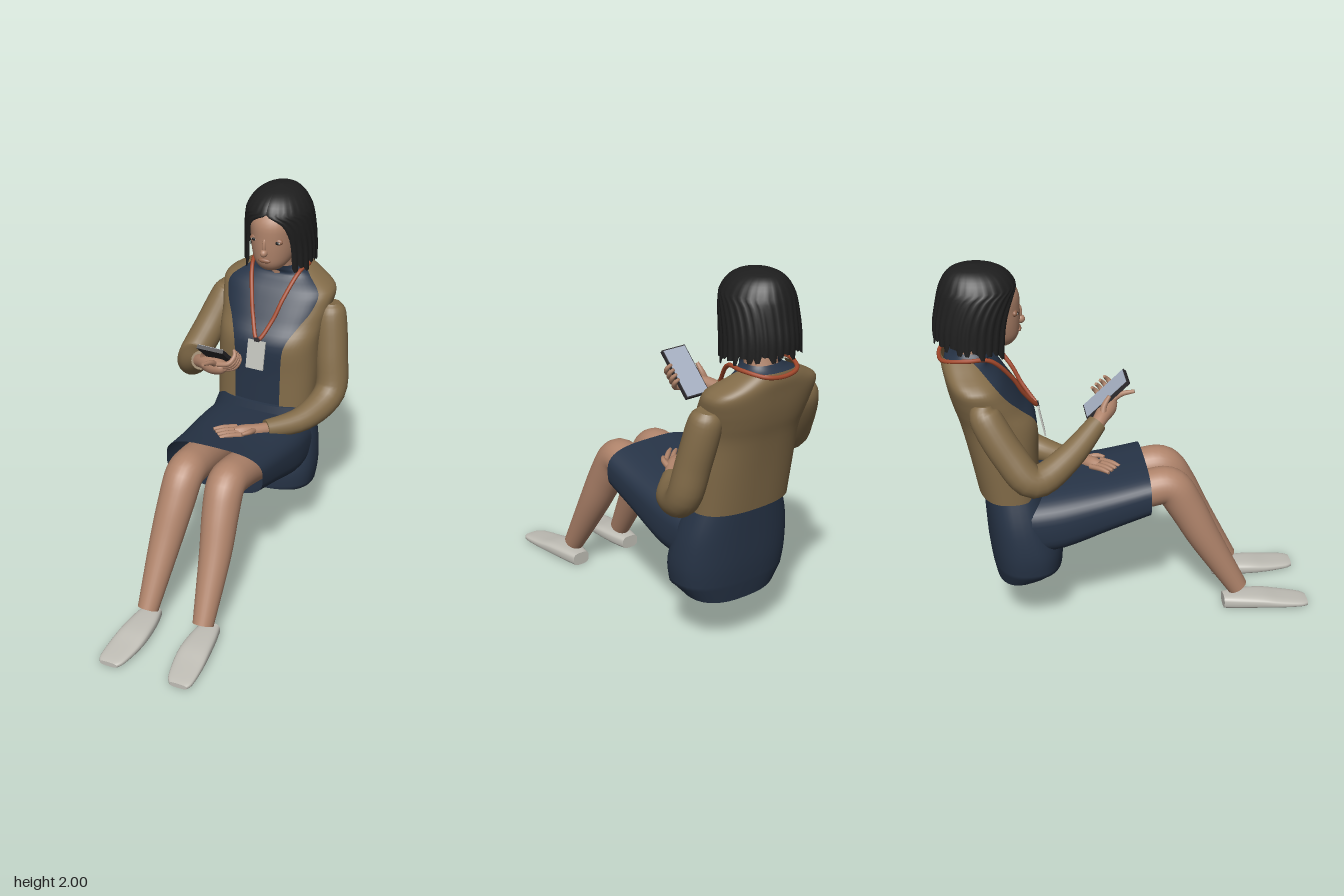
import * as THREE from 'three';

const V = (x, y, z) => new THREE.Vector3(x, y, z);
const CX = 0.02; // body centre line

function makeMaterials() {
  const mat = (name, color, side = THREE.FrontSide) => {
    const m = new THREE.MeshStandardMaterial({ color, side });
    m.name = name;
    return m;
  };
  return {
    skin: mat('skin', 0xb0846b), lip: mat('lips', 0x94674f),
    hair: mat('hair black', 0x1e1e1e, THREE.DoubleSide),
    jacket: mat('jacket tan', 0x836c49, THREE.DoubleSide),
    navy: mat('navy cloth', 0x273447, THREE.DoubleSide),
    strap: mat('strap rust', 0xa3482b), badge: mat('badge white', 0xbfc0ba),
    phone: mat('phone charcoal', 0x2c2a2d), screen: mat('screen blue grey', 0xa6b0c2),
    shoe: mat('shoe off white', 0xc0beb6),
  };
}

// Skin over cross-sections {c, u, v, a}: centre, two half axes, half angle left open at +v
function loft(sections, { n = 32, p = 1, open = false, caps = [false, false], warp } = {}) {
  const pos = [], idx = [], cols = open ? n + 1 : n;
  const pw = (t) => Math.sign(t) * Math.pow(Math.abs(t), p);
  sections.forEach((s, j) => {
    const a = s.a || 0;
    for (let i = 0; i < cols; i++) {
      const t = a + (2 * Math.PI - 2 * a) * (i / n);
      const q = s.c.clone().addScaledVector(s.u, pw(Math.sin(t))).addScaledVector(s.v, pw(Math.cos(t)));
      if (warp) warp(q, s, i, j);
      pos.push(q.x, q.y, q.z);
    }
  });
  for (let j = 0; j < sections.length - 1; j++) {
    for (let i = 0; i < n; i++) {
      const a = j * cols + i, b = j * cols + ((i + 1) % cols);
      idx.push(a, b, b + cols, a, b + cols, a + cols);
    }
  }
  caps.forEach((on, end) => {
    if (!on) return;
    const j = end ? sections.length - 1 : 0, base = pos.length / 3;
    for (let i = 0; i < cols; i++) pos.push(...pos.slice((j * cols + i) * 3, (j * cols + i) * 3 + 3));
    pos.push(...sections[j].c.toArray());
    for (let i = 0; i < n; i++) {
      const a = base + i, b = base + ((i + 1) % cols);
      idx.push(base + cols, ...(end ? [a, b] : [b, a]));
    }
  });
  const g = new THREE.BufferGeometry();
  g.setAttribute('position', new THREE.Float32BufferAttribute(pos, 3));
  g.setIndex(idx);
  g.computeVertexNormals();
  return g;
}

// Spline through rows of numbers
function smooth(rows, k = 4) {
  const spline = (a, b, c, d, t) => {
    const cubic = 3 * (b - c) + d - a;
    const square = 2 * a - 5 * b + 4 * c - d;
    return b + 0.5 * t * (c - a + t * (square + t * cubic));
  };
  const out = [];
  for (let r = 0; r < rows.length - 1; r++) {
    const [A, B, C, D] = [-1, 0, 1, 2].map((o) => rows[Math.min(rows.length - 1, Math.max(0, r + o))]);
    for (let s = 0; s < k; s++) out.push(B.map((b, m) => spline(A[m], b, C[m], D[m], s / k)));
  }
  return [...out, rows[rows.length - 1]];
}

// Horizontal section from [y, halfWidth, zFront, zBack]; tilt lowers the front
const level = ([y, hw, zf, zb], tilt = 0) =>
  ({ c: V(CX, y, (zf + zb) / 2), u: V(hw, 0, 0), v: V(0, -tilt, (zf - zb) / 2) });

// Round limb through rows [x, y, z, radius]
function limb(rows, n = 20) {
  const pts = smooth(rows, 5), P = pts.map((r) => V(r[0], r[1], r[2]));
  let u = V(0.5, 0.2, 0.9);
  const secs = pts.map((r, i) => {
    const T = P[Math.min(i + 1, P.length - 1)].clone().sub(P[Math.max(i - 1, 0)]).normalize();
    u = u.clone().addScaledVector(T, -u.dot(T)).normalize();
    const v = u.clone().cross(T);
    return { c: P[i], u: u.clone().multiplyScalar(r[3]), v: v.multiplyScalar(r[3]) };
  });
  return loft(secs, { n, caps: [true, true] });
}

export function createModel() {
  const M = makeMaterials();
  const model = new THREE.Group();
  model.name = 'seatedWoman';
  const add = (name, geo, mat, parent = model) => {
    const m = new THREE.Mesh(geo, mat);
    m.name = name;
    parent.add(m);
    return m;
  };
  const ball = (name, mat, at, size) => {
    const m = add(name, new THREE.SphereGeometry(1, 20, 14), mat);
    m.position.set(...at);
    m.scale.set(...size);
  };

  // Head and neck
  const headRows = [[1.565, 0.02, -0.6, -0.66], [1.58, 0.06, -0.565, -0.71], [1.62, 0.095, -0.535, -0.78],
    [1.68, 0.12, -0.525, -0.86], [1.76, 0.13, -0.522, -0.88], [1.85, 0.135, -0.53, -0.87],
    [1.92, 0.1, -0.59, -0.84], [1.96, 0.001, -0.72, -0.721]];
  add('head', loft(smooth(headRows).map((r) => level(r)), { p: 0.95, caps: [true, false] }), M.skin);
  add('neck', limb([[CX, 1.48, -0.78, 0.085], [CX, 1.56, -0.76, 0.08], [CX, 1.68, -0.73, 0.08]]), M.skin);
  ball('nose', M.skin, [CX, 1.695, -0.522], [0.02, 0.022, 0.024]);
  ball('noseBridge', M.skin, [CX, 1.73, -0.527], [0.012, 0.045, 0.016]);
  ball('lips', M.lip, [CX, 1.648, -0.53], [0.035, 0.013, 0.012]);
  for (const s of [-1, 1]) {
    ball('eyelid', M.lip, [CX + s * 0.066, 1.758, -0.555], [0.027, 0.018, 0.016]);
    ball('eye', M.badge, [CX + s * 0.066, 1.755, -0.55], [0.019, 0.01, 0.014]);
    ball('iris', M.hair, [CX + s * 0.066, 1.755, -0.54], [0.009, 0.009, 0.006]);
  }

  // Bobbed hair with combed strands and an uneven hem; last number is the open half angle
  const hairRows = [[1.59, 0.195, -0.56, -0.955, 0.72], [1.7, 0.192, -0.55, -0.955, 0.7],
    [1.79, 0.187, -0.54, -0.94, 0.62], [1.86, 0.178, -0.535, -0.925, 0.38], [1.9, 0.165, -0.54, -0.912, 0],
    [1.95, 0.132, -0.575, -0.885, 0], [1.985, 0.08, -0.64, -0.84, 0], [2.0, 0.001, -0.74, -0.741, 0]];
  const hairSecs = smooth(hairRows, 3).map((r, j) =>
    ({ ...level(r, Math.max(0, 0.035 - j * 0.012)), a: Math.max(0, r[4]) }));
  add('hair', loft(hairSecs, {
    n: 100, open: true,
    warp(q, s, i, j) {
      const groove = i % 4 === 0 ? 1 : 0;
      const k = 1 - 0.05 * groove * Math.max(0, 1 - j / 18);
      q.x = s.c.x + (q.x - s.c.x) * k;
      q.z = s.c.z + (q.z - s.c.z) * k;
      if (j === 0) q.y += 0.018 * Math.sin(Math.floor(i / 4) * 2.3) + 0.02 * groove;
    },
  }), M.hair);

  // Torso: shirt inside an open jacket; last number is the half width of the opening
  const torso = [[0.79, 0.275, -0.45, -0.77, 0.13], [1.0, 0.28, -0.452, -0.81, 0.13], [1.18, 0.28, -0.452, -0.85, 0.14],
    [1.28, 0.29, -0.515, -0.88, 0.19], [1.36, 0.305, -0.565, -0.9, 0.24], [1.44, 0.305, -0.62, -0.915, 0.255],
    [1.5, 0.21, -0.68, -0.925, 0.185], [1.545, 0.135, -0.715, -0.92, 0.132]];
  const p = 0.8;
  const jacket = smooth(torso).map((r) => {
    const edge = Math.min(1, r[4] / r[1]);
    return { ...level(r), a: Math.asin(Math.pow(edge, 1 / p)) };
  });
  add('jacket', loft(jacket, { n: 48, p, open: true }), M.jacket);
  const shirt = torso.slice(0, 7).map(([y, hw, zf, zb]) => [y, hw - 0.018, zf - 0.01, zb + 0.018]);
  shirt.push([1.535, 0.115, -0.68, -0.87], [1.56, 0.094, -0.67, -0.85]);
  add('shirt', loft(smooth(shirt).map((r) => level(r)), { n: 48, p }), M.navy);

  // Sleeves
  add('rightSleeve', limb([[-0.265, 1.375, -0.74, 0.045], [-0.28, 1.31, -0.73, 0.08], [-0.34, 1.13, -0.63, 0.086],
    [-0.385, 0.995, -0.51, 0.083], [-0.3, 1.07, -0.33, 0.07], [-0.18, 1.19, -0.17, 0.05]], 24), M.jacket);
  add('leftSleeve', limb([[0.32, 1.37, -0.745, 0.05], [0.325, 1.31, -0.735, 0.083], [0.355, 1.1, -0.69, 0.088],
    [0.375, 0.89, -0.63, 0.085], [0.3, 0.81, -0.43, 0.068], [0.16, 0.805, -0.26, 0.048]], 24), M.jacket);

  // Strap around the neck, and its badge
  const half = [[0.095, 1.535, -0.91], [0.15, 1.55, -0.8], [0.135, 1.54, -0.69], [0.09, 1.42, -0.58], [0.055, 1.31, -0.52]];
  const loop = [V(CX, 1.525, -0.93), ...half.map(([x, y, z]) => V(CX - x, y, z)), V(CX, 1.215, -0.452),
    ...half.slice().reverse().map(([x, y, z]) => V(CX + x, y, z))];
  add('strap', new THREE.TubeGeometry(new THREE.CatmullRomCurve3(loop, true), 96, 0.011, 8, true), M.strap);
  const badge = new THREE.Group();
  badge.name = 'badge';
  badge.position.set(CX, 1.135, -0.433);
  badge.rotation.x = -0.2;
  add('badgeCard', new THREE.BoxGeometry(0.1, 0.16, 0.009), M.badge, badge);
  add('badgeClip', new THREE.BoxGeometry(0.03, 0.02, 0.016), M.phone, badge).position.y = 0.085;
  model.add(badge);

  // Skirt: seat part and lap part
  const hip = smooth([[0.36, 0.312, -0.345, -0.71], [0.48, 0.325, -0.345, -0.725], [0.65, 0.305, -0.4, -0.735], [0.83, 0.25, -0.44, -0.745]]);
  const seatBottom = { c: V(CX, 0.315, -0.52), u: V(0.27, 0, 0), v: V(0, 0.045, 0.172) };
  add('skirtSeat', loft([seatBottom, ...hip.map((r) => level(r))], { n: 40, p: 0.8, caps: [true, true] }), M.navy);
  // rows: z, bottom, top, halfWidth
  const lap = smooth([[0.1, 0.615, 0.862, 0.275], [-0.1, 0.55, 0.828, 0.287], [-0.35, 0.465, 0.8, 0.305], [-0.52, 0.45, 0.78, 0.3]]);
  const lapSecs = lap.map(([z, b, t, hw]) => ({ c: V(0.0225, (b + t) / 2, z), u: V(hw, 0, 0), v: V(0, (t - b) / 2, 0) }));
  add('skirtLap', loft(lapSecs, { n: 48, p: 0.65 }), M.navy);

  // Legs and shoes, mirrored about x = 0.0275
  for (const [s, side] of [[-1, 'right'], [1, 'left']]) {
    const X = (d) => 0.0275 + s * d;
    add(side + 'Leg', limb([[X(0.14), 0.62, -0.32, 0.105], [X(0.125), 0.7, -0.05, 0.1], [X(0.118), 0.742, 0.12, 0.1],
      [X(0.117), 0.738, 0.225, 0.1], [X(0.125), 0.62, 0.305, 0.096], [X(0.142), 0.42, 0.41, 0.083],
      [X(0.158), 0.11, 0.59, 0.055]], 28), M.skin);
    // rows: z, offset, halfWidth, height
    const shoe = smooth([[0.968, 0.196, 0.048, 0.026], [0.93, 0.192, 0.068, 0.034], [0.82, 0.18, 0.08, 0.05],
      [0.72, 0.172, 0.08, 0.068], [0.6, 0.168, 0.068, 0.074], [0.512, 0.168, 0.05, 0.072]]);
    const shoeSecs = shoe.map(([z, d, hw, h]) => ({ c: V(X(d), h / 2, z), u: V(hw, 0, 0), v: V(0, h / 2, 0) }));
    add(side + 'Shoe', loft(shoeSecs, { n: 28, p: 0.65, caps: [true, true] }), M.shoe);
  }

  // Phone, tilted towards the face
  const phone = new THREE.Group();
  phone.name = 'phone';
  phone.position.set(-0.047, 1.278, -0.105);
  phone.rotation.x = -0.75;
  add('phoneBody', new THREE.BoxGeometry(0.145, 0.02, 0.285), M.phone, phone);
  add('phoneScreen', new THREE.BoxGeometry(0.134, 0.004, 0.272), M.screen, phone).position.y = 0.011;
  model.add(phone);

  // Right hand holding the phone
  add('rightPalm', limb([[-0.2, 1.18, -0.18, 0.034], [-0.15, 1.205, -0.145, 0.038], [-0.08, 1.22, -0.105, 0.046],
    [-0.02, 1.235, -0.085, 0.038], [0.0, 1.24, -0.08, 0.02]], 16), M.skin);
  for (let f = 0; f < 4; f++) {
    const d = -0.045 + f * 0.029, y = 1.235 + 0.68 * d, z = -0.085 + 0.73 * d;
    add('rightFinger', limb([[-0.03, y, z, 0.015], [0.03, y + 0.015, z - 0.005, 0.014],
      [0.052, y + 0.05, z - 0.03, 0.012], [0.04, y + 0.075, z - 0.05, 0.008]], 10), M.skin);
  }
  add('rightIndexFinger', limb([[-0.05, 1.245, -0.075, 0.016], [-0.055, 1.28, -0.03, 0.014], [-0.07, 1.298, 0.035, 0.009]], 10), M.skin);
  add('rightThumb', limb([[-0.16, 1.2, -0.14, 0.02], [-0.14, 1.26, -0.13, 0.016], [-0.128, 1.31, -0.1, 0.01]], 10), M.skin);

  // Left hand resting on the lap
  add('leftPalm', limb([[0.18, 0.805, -0.28, 0.034], [0.13, 0.815, -0.22, 0.032], [0.07, 0.82, -0.165, 0.036],
    [0.03, 0.825, -0.13, 0.026]], 16), M.skin);
  for (let f = 0; f < 4; f++) {
    const o = (f - 1.5) * 0.021;
    add('leftFinger', limb([[0.055 + o, 0.828, -0.15 + o, 0.014], [o, 0.838, -0.1 + o, 0.013],
      [-0.04 + o, 0.836, -0.065 + o, 0.009]], 10), M.skin);
  }
  add('leftThumb', limb([[0.12, 0.825, -0.19, 0.017], [0.115, 0.84, -0.14, 0.014], [0.09, 0.842, -0.1, 0.009]], 10), M.skin);

  return model;
}
